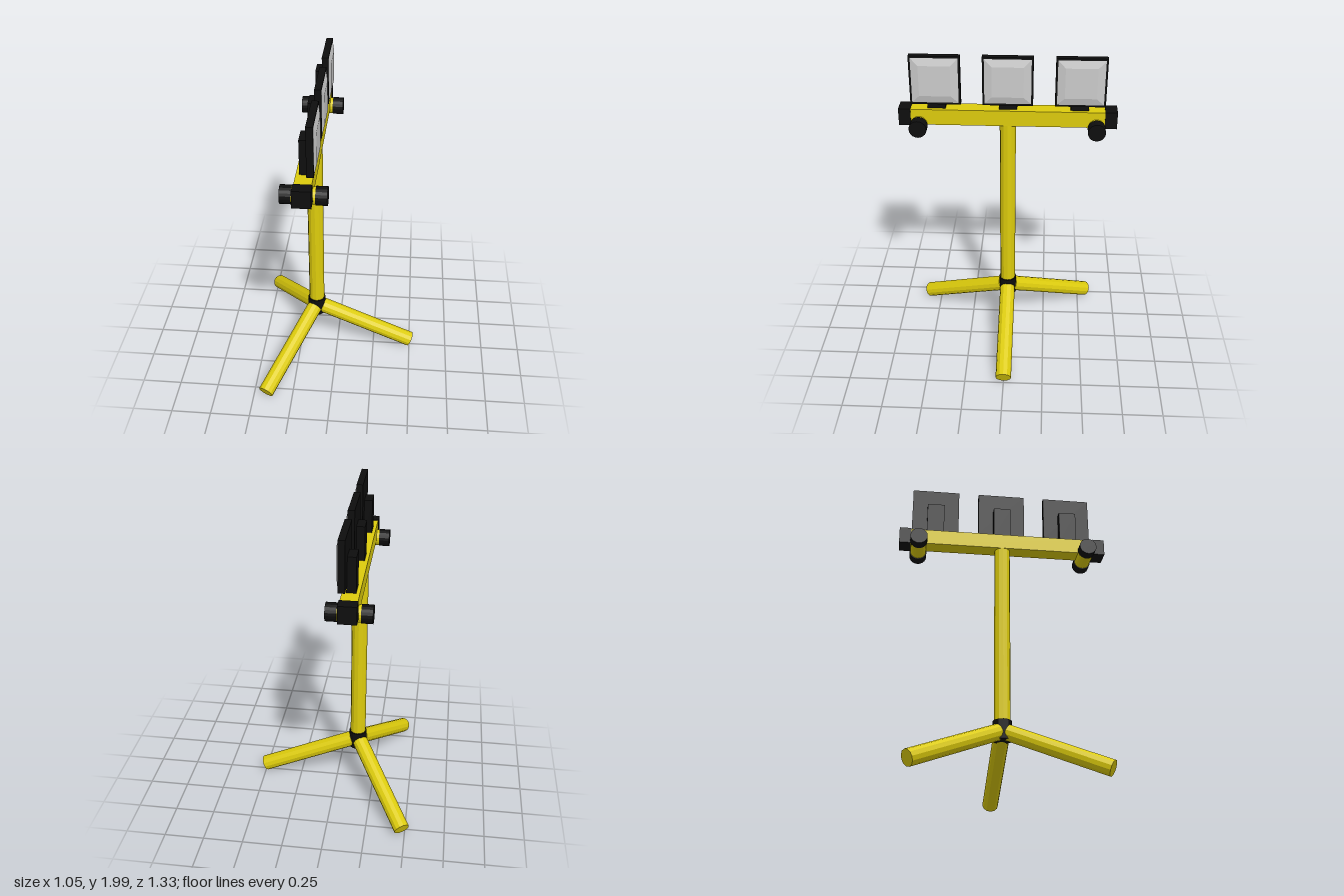
import * as THREE from 'three';

const material = (color) => new THREE.MeshStandardMaterial({ color, flatShading: true });

export function createModel() {
  const yellow = material(0xddcc0c);
  const black = material(0x0e0e0e);
  const grey = material(0xcccccc);
  const model = new THREE.Group();
  const axisX = -0.14; // x of the mast
  const barY = 1.604;

  function add(name, geometry, mat, x = 0, y = 0, z = 0, parent = model) {
    const mesh = new THREE.Mesh(geometry, mat);
    mesh.name = name;
    mesh.position.set(x, y, z);
    parent.add(mesh);
    return mesh;
  }
  const box = (w, h, d) => new THREE.BoxGeometry(w, h, d);

  // Cylinder running from point a to point b
  function tube(name, a, b, radius, mat, sides = 12) {
    const dir = b.clone().sub(a);
    const mesh = add(name, new THREE.CylinderGeometry(radius, radius, dir.length(), sides), mat);
    mesh.position.copy(a).add(b).multiplyScalar(0.5);
    mesh.quaternion.setFromUnitVectors(new THREE.Vector3(0, 1, 0), dir.normalize());
    return mesh;
  }
  const v = (x, y, z) => new THREE.Vector3(x, y, z);

  // Mast and hub
  tube('mast', v(axisX, 0.33, 0), v(axisX, 1.56, 0), 0.05, yellow);
  tube('hub', v(axisX, 0.275, 0), v(axisX, 0.395, 0), 0.058, black);

  // Three splayed legs, given by the centre of each foot
  for (const [x, z] of [[0.502, 0], [-0.482, -0.553], [-0.418, 0.582]]) {
    const out = v(x - axisX, 0, z).normalize();
    tube('leg', v(axisX + out.x * 0.035, 0.322, out.z * 0.035), v(x, 0.051, z), 0.05, yellow);
  }

  // Crossbar with end caps and short capped cross tubes
  add('crossbar', box(0.1, 0.1, 1.2), yellow, axisX, barY, 0);
  for (const side of [-1, 1]) {
    add('crossbarEndCap', box(0.108, 0.108, 0.074), black, axisX, barY, side * 0.628);
    const z = side * 0.541;
    tube('crossTube', v(-0.25, 1.558, z), v(-0.03, 1.558, z), 0.05, yellow, 20);
    for (const end of [-1, 1]) {
      const x = axisX + end * 0.1;
      tube('crossTubeCap', v(x - 0.033, 1.558, z), v(x + 0.033, 1.558, z), 0.054, black, 20);
    }
  }

  // Lens: square frustum, its wide base on the housing
  const lensGeometry = new THREE.CylinderGeometry(0.095 * Math.SQRT2, 0.142 * Math.SQRT2, 0.013, 4);
  lensGeometry.rotateY(Math.PI / 4).rotateZ(-Math.PI / 2);

  // Floodlights facing +x
  for (const z of [-0.437, -0.002, 0.433]) {
    const light = new THREE.Group();
    light.name = 'floodlight';
    light.position.set(0, 0, z);
    model.add(light);
    add('bracket', box(0.055, 0.22, 0.11), black, -0.142, 1.757, 0, light);
    add('housing', box(0.04, 0.304, 0.304), black, -0.099, 1.848, 0, light);
    add('lens', lensGeometry, grey, -0.073, 1.848, 0, light);
  }
  return model;
}
